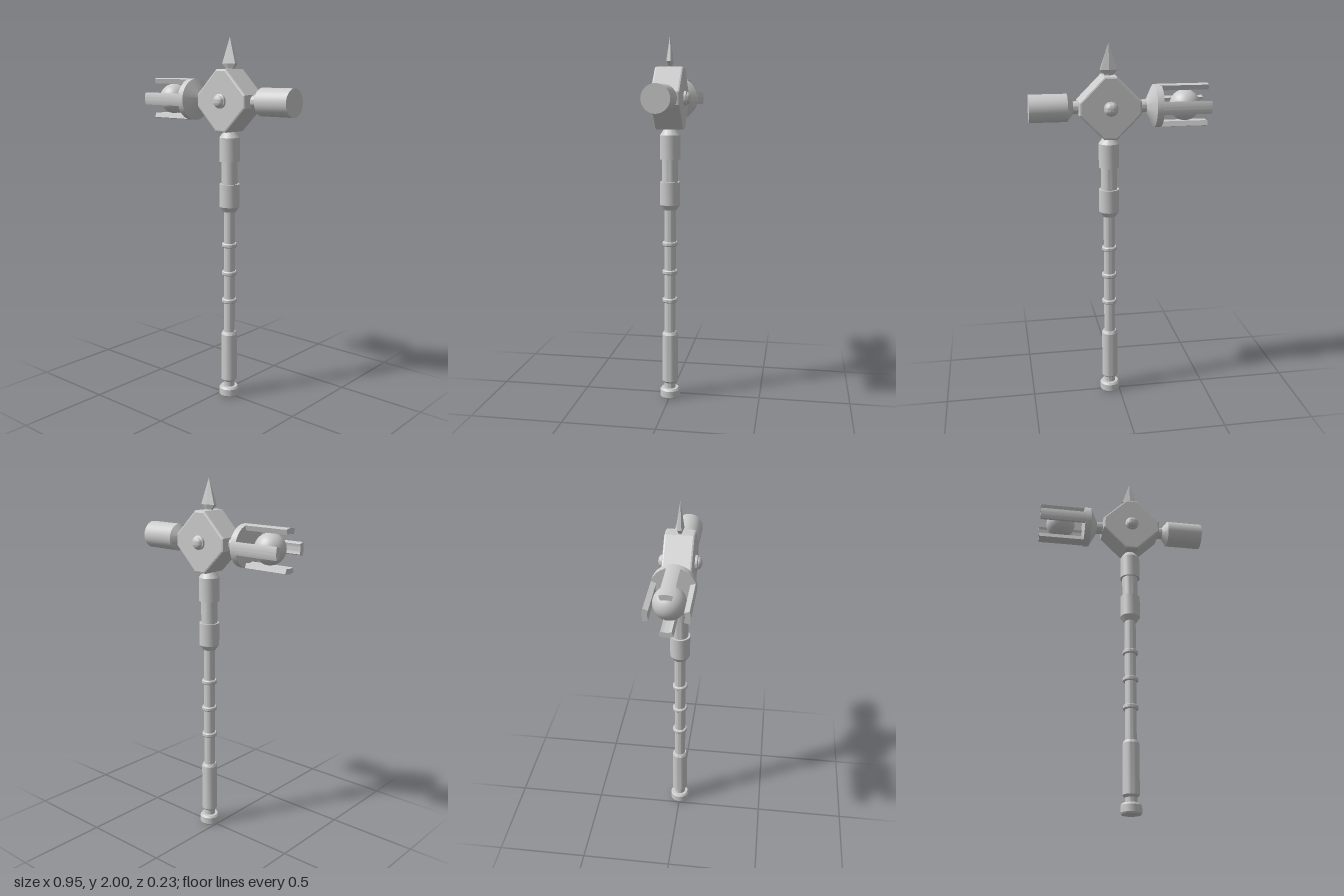
import * as THREE from 'three';
import { toCreasedNormals } from 'three/addons/utils/BufferGeometryUtils.js';

const CX = 0.054; // shaft axis
const HY = 1.67; // height of the head's centre
const material = new THREE.MeshStandardMaterial({ color: 0xcccccc });

function add(parent, name, geometry, x = 0, y = 0, z = 0) {
  const mesh = new THREE.Mesh(geometry, material);
  mesh.name = name;
  mesh.position.set(x, y, z);
  parent.add(mesh);
  return mesh;
}

// Turned part with crisp edges; profile is [radius, height] from bottom to top
function turned(profile, segments = 32) {
  const points = profile.map(([r, h]) => new THREE.Vector2(r, h));
  return toCreasedNormals(new THREE.LatheGeometry(points, segments), 0.45);
}

export function createModel() {
  const model = new THREE.Group();
  model.name = 'hammer';

  // Handle
  add(model, 'pommel', turned([[0, 0], [0.05, 0], [0.055, 0.008], [0.055, 0.045], [0.047, 0.056], [0, 0.056]]), CX);
  add(model, 'grip', turned([
    [0.031, 0.05], [0.031, 0.085], [0.044, 0.098], [0.044, 0.367], [0.036, 0.382], [0.031, 0.382],
  ]), CX);
  add(model, 'shaft', turned([[0.031, 0.38], [0.031, 1.09]]), CX);
  for (const y of [0.564, 0.723, 0.882]) {
    add(model, 'shaftRing', turned([
      [0.03, -0.012], [0.038, -0.012], [0.042, -0.007], [0.042, 0.007], [0.038, 0.012], [0.03, 0.012],
    ]), CX, y);
  }
  add(model, 'collar', turned([
    [0.031, 1.07], [0.036, 1.07], [0.055, 1.098], [0.055, 1.223], [0.044, 1.223], [0.044, 1.345],
    [0.055, 1.345], [0.055, 1.475], [0.032, 1.508], [0.032, 1.53],
  ]), CX);

  // Diamond head: square on its corner, with cut corners and small bevels
  const tip = 0.164, flat = 0.034, bevel = 0.01;
  const a = tip - bevel, b = flat - bevel * 0.41;
  const outline = new THREE.Shape([
    [a, -b], [a, b], [b, a], [-b, a], [-a, b], [-a, -b], [-b, -a], [b, -a],
  ].map(([x, y]) => new THREE.Vector2(x, y)));
  const headGeometry = new THREE.ExtrudeGeometry(outline, {
    depth: 0.134, bevelEnabled: true, bevelThickness: bevel, bevelSize: bevel, bevelSegments: 2,
  });
  headGeometry.translate(0, 0, -0.067);
  add(model, 'head', headGeometry, CX, HY);

  // Domed studs, front and back
  const dome = [[0.038, 0], [0.038, 0.014], [0.032, 0.018]];
  for (let i = 1; i <= 8; i++) {
    const t = (i / 8) * Math.PI / 2;
    dome.push([0.032 * Math.cos(t), 0.018 + 0.02 * Math.sin(t)]);
  }
  for (const side of [1, -1]) {
    const stud = add(model, 'stud', turned(dome, 24), CX, HY, side * 0.075);
    stud.rotation.x = side * Math.PI / 2;
  }

  // Flattened six-sided spike
  const spike = new THREE.LatheGeometry(
    [[0.028, 1.825], [0.028, 1.838], [0.052, 1.862], [0, 2]].map(([r, y]) => new THREE.Vector2(r, y)), 6);
  spike.scale(1, 1, 0.4);
  add(model, 'spike', toCreasedNormals(spike, 0.1), CX);

  // Solid striking end
  const striker = add(model, 'striker', turned([
    [0.033, 0.19], [0.033, 0.245], [0.073, 0.275], [0.073, 0.475], [0, 0.475],
  ]), 0, HY);
  striker.rotation.z = -Math.PI / 2;

  // Pronged end holding a ball
  const cup = add(model, 'cup', turned([
    [0.034, 0.09], [0.034, 0.145], [0.113, 0.186], [0.113, 0.222], [0, 0.222],
  ]), 0, HY);
  cup.rotation.z = Math.PI / 2;
  add(model, 'ball', new THREE.SphereGeometry(0.082, 32, 20), -0.356, HY);

  const half = 0.305;
  const sector = new THREE.Shape();
  sector.absarc(0, 0, 0.113, -half, half, false);
  sector.absarc(0, 0, 0.086, half, -half, true);
  const prongGeometry = toCreasedNormals(
    new THREE.ExtrudeGeometry(sector, { depth: 0.262, bevelEnabled: false, curveSegments: 6 }), 0.45);
  prongGeometry.rotateY(-Math.PI / 2);
  for (let i = 0; i < 4; i++) {
    add(model, 'prong', prongGeometry, -0.216, HY).rotation.x = i * Math.PI / 2;
  }

  return model;
}
